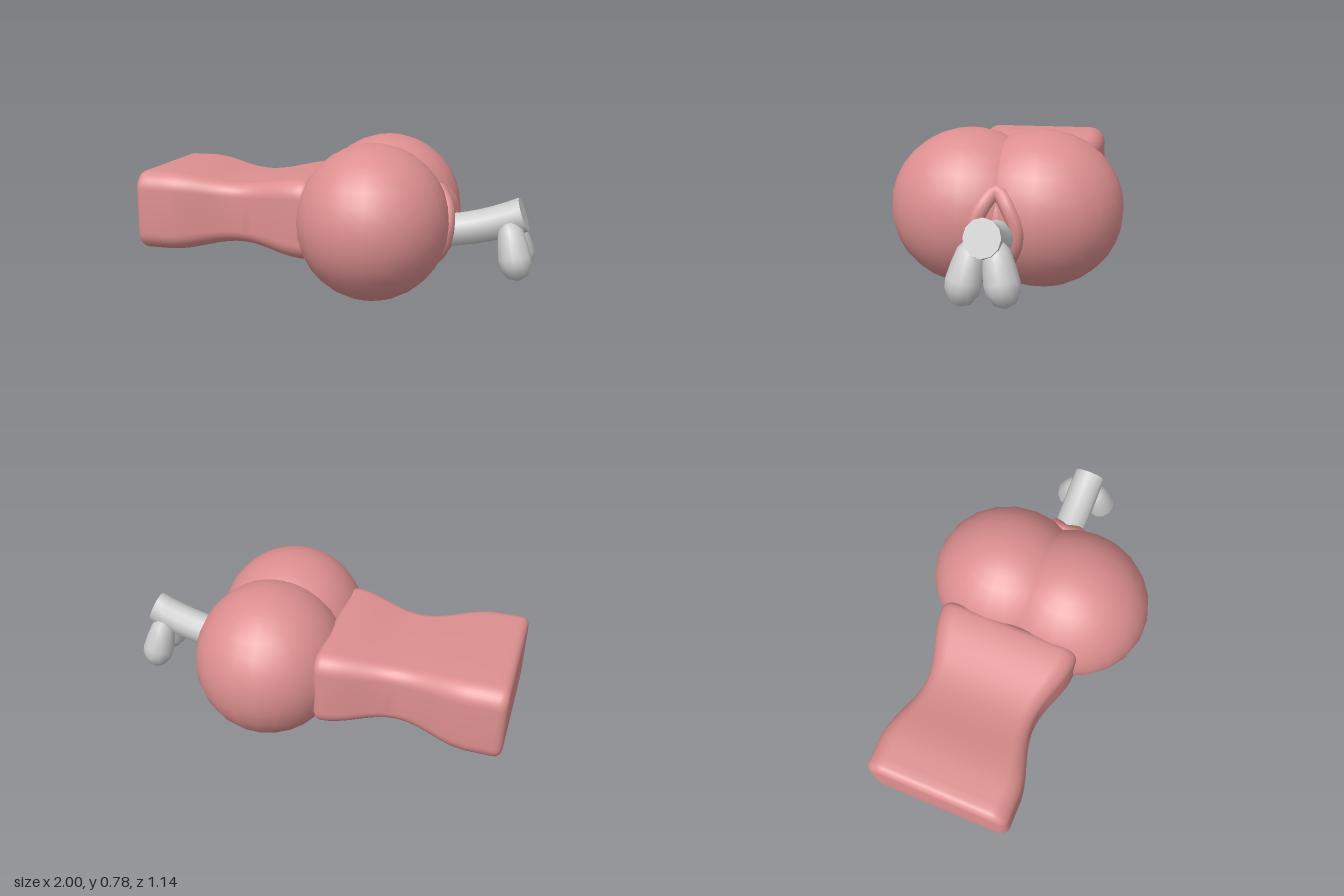
import * as THREE from 'three';
import { toCreasedNormals } from 'three/addons/utils/BufferGeometryUtils.js';

const skin = new THREE.MeshStandardMaterial({ color: 0xdd8f8f });
const grey = new THREE.MeshStandardMaterial({ color: 0xcccccc });

function mesh(name, geometry, material) {
  const m = new THREE.Mesh(geometry, material);
  m.name = name;
  return m;
}

// Move every vertex of a geometry by a rule
function deform(geometry, rule) {
  const p = geometry.attributes.position;
  const v = new THREE.Vector3();
  for (let i = 0; i < p.count; i++) {
    v.fromBufferAttribute(p, i);
    rule(v);
    p.setXYZ(i, v.x, v.y, v.z);
  }
  geometry.computeVertexNormals();
  return geometry;
}

function roundedRect(w, h, r) {
  const s = new THREE.Shape();
  s.absarc(w - r, h - r, r, 0, Math.PI / 2);
  s.absarc(-w + r, h - r, r, Math.PI / 2, Math.PI);
  s.absarc(-w + r, -h + r, r, Math.PI, Math.PI * 1.5);
  s.absarc(w - r, -h + r, r, Math.PI * 1.5, Math.PI * 2);
  s.closePath();
  return s;
}

// Rounded block with a waist pinched in the middle
function createTrunk() {
  const bevel = 0.04, x0 = -1, x1 = -0.07;
  const g = new THREE.ExtrudeGeometry(roundedRect(0.365 - bevel, 0.203 - bevel, 0.05), {
    depth: x1 - x0 - 2 * bevel, steps: 24, curveSegments: 5,
    bevelEnabled: true, bevelSize: bevel, bevelThickness: bevel, bevelSegments: 4,
  });
  g.translate(0, 0, x0 + bevel);
  g.rotateY(Math.PI / 2);
  deform(g, (v) => {
    const t = THREE.MathUtils.clamp((v.x + 0.47) / 0.37, -1, 1);
    const pinch = Math.cos(t * Math.PI / 2) ** 2;
    v.z = v.z * (1 - 0.22 * pinch) - 0.045;
    v.y = v.y * (1 - 0.245 * pinch) + 0.397;
  });
  return mesh('trunk', toCreasedNormals(g, 0.9), skin);
}

// Gently upward-curving rod with flat, tilted ends
function createRod() {
  const g = new THREE.CylinderGeometry(0.083, 0.083, 0.5, 12, 8);
  g.rotateZ(-Math.PI / 2);
  deform(g, (v) => {
    const x = v.x + 0.69, d = x - 0.72;
    const slope = 0.25 + 0.82 * d;
    v.x = x - slope * v.y * 0.8;
    v.y += 0.36 + 0.25 * d + 0.41 * d * d;
    v.z -= 0.008;
  });
  return mesh('rod', toCreasedNormals(g, 0.8), grey);
}

// Hanging drop, wider towards its lower end
function createDrop(side) {
  const top = new THREE.Vector3(0.872, 0.41, side * 0.045 - 0.005);
  const bottom = new THREE.Vector3(0.935, 0.125, side * 0.105 - 0.005);
  const axis = top.clone().sub(bottom);
  const profile = [[0, 0], [0.05, 0.02], [0.078, 0.07], [0.082, 0.11],
    [0.074, 0.18], [0.06, 0.25], [0.035, 0.285], [0, 0.297]]
    .map(([r, y]) => new THREE.Vector2(r, y));
  const m = mesh(side > 0 ? 'leftDrop' : 'rightDrop', new THREE.LatheGeometry(profile, 12), grey);
  m.position.copy(bottom);
  m.quaternion.setFromUnitVectors(new THREE.Vector3(0, 1, 0), axis.normalize());
  return m;
}

// Raised oval rim lying in the cleft around the rod
function createRim() {
  const half = [[0.57, 0.47, 0.06], [0.58, 0.36, 0.1], [0.55, 0.25, 0.075]];
  const points = [[0.525, 0.535, 0], ...half, [0.47, 0.165, 0],
    ...half.slice().reverse().map(([x, y, z]) => [x, y, -z])]
    .map((p) => new THREE.Vector3(...p));
  const curve = new THREE.CatmullRomCurve3(points, true);
  return mesh('rim', new THREE.TubeGeometry(curve, 40, 0.037, 8, true), skin);
}

export function createModel() {
  const group = new THREE.Group();
  group.add(createTrunk());

  // Paired globes meeting at the centre seam
  for (const side of [1, -1]) {
    const globe = mesh(side > 0 ? 'leftGlobe' : 'rightGlobe', new THREE.SphereGeometry(1, 22, 16), skin);
    globe.scale.set(0.378, 0.388, 0.4);
    globe.position.set(0.222, 0.392, side * 0.175);
    group.add(globe, createDrop(side));
  }

  // Core filling the cleft behind the rim
  const core = mesh('cleftCore', new THREE.SphereGeometry(1, 16, 12), skin);
  core.scale.set(0.1, 0.19, 0.09);
  core.position.set(0.47, 0.36, 0);
  group.add(core, createRim(), createRod());
  return group;
}
